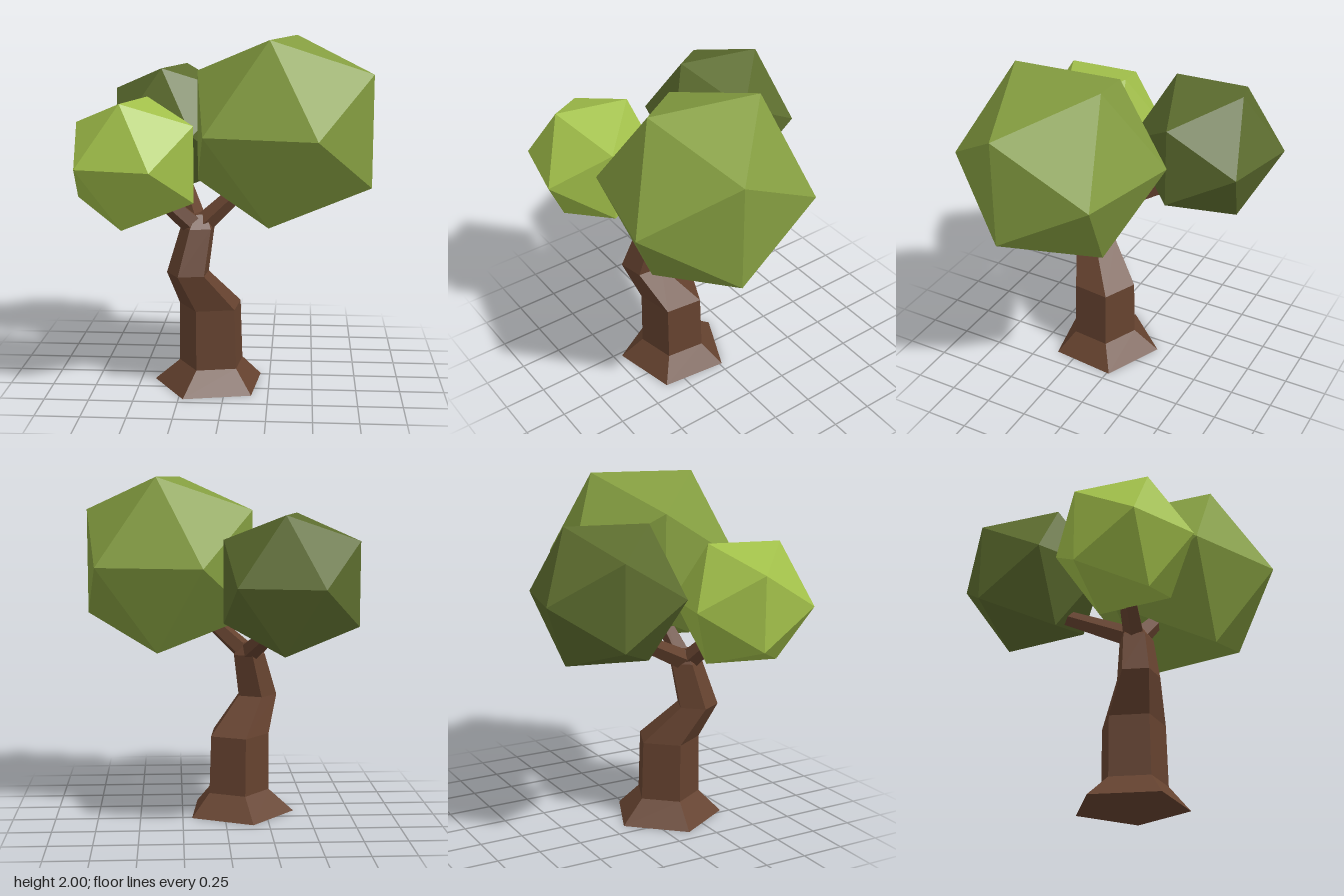
import * as THREE from 'three';

const SIDES = 5;
const TURN = THREE.MathUtils.degToRad(42);

function material(name, color) {
  const m = new THREE.MeshStandardMaterial({ color, flatShading: true });
  m.name = name;
  return m;
}

// Closed, faceted tube through horizontal pentagon rings [x, y, z, radius]
function ringTube(rings) {
  const pos = [];
  const corner = ([x, y, z, r], i) => {
    const a = TURN + (i % SIDES) * Math.PI * 2 / SIDES;
    return [x + r * Math.cos(a), y, z + r * Math.sin(a)];
  };
  const tri = (...points) => points.forEach(p => pos.push(...p));
  const first = rings[0], last = rings[rings.length - 1];
  for (let i = 0; i < SIDES; i++) {
    for (let j = 0; j < rings.length - 1; j++) {
      const a = corner(rings[j], i), b = corner(rings[j], i + 1);
      const c = corner(rings[j + 1], i), d = corner(rings[j + 1], i + 1);
      tri(a, c, b);
      tri(b, c, d);
    }
    tri(first.slice(0, 3), corner(first, i), corner(first, i + 1));
    tri(last.slice(0, 3), corner(last, i + 1), corner(last, i));
  }
  const g = new THREE.BufferGeometry();
  g.setAttribute('position', new THREE.Float32BufferAttribute(pos, 3));
  g.computeVertexNormals();
  return g;
}

export function createModel() {
  const tree = new THREE.Group();
  tree.name = 'tree';
  const bark = material('bark brown', 0x65422f);
  const add = (name, geometry, mat) => {
    const mesh = new THREE.Mesh(geometry, mat);
    mesh.name = name;
    tree.add(mesh);
    return mesh;
  };

  // Crooked trunk with flared root, closing in the fork
  add('trunk', ringTube([
    [-0.09, 0, 0.15, 0.33],
    [-0.078, 0.13, 0.16, 0.194],
    [-0.083, 0.475, 0.16, 0.187],
    [-0.202, 0.69, 0.287, 0.125],
    [-0.15, 0.945, 0.237, 0.101],
    [-0.14, 1.02, 0.225, 0.05],
  ]), bark);

  // Branches from the fork into each crown
  const branch = (name, from, to) => {
    const a = new THREE.Vector3(...from), b = new THREE.Vector3(...to);
    const dir = b.clone().sub(a);
    const mesh = add(name, new THREE.CylinderGeometry(0.042, 0.062, dir.length(), SIDES), bark);
    mesh.position.copy(a).lerp(b, 0.5);
    mesh.quaternion.setFromUnitVectors(new THREE.Vector3(0, 1, 0), dir.normalize());
  };
  branch('leftBranch', [-0.13, 0.96, 0.235], [0.16, 1.23, 0.21]);
  branch('rightBranch', [-0.18, 0.96, 0.25], [-0.42, 1.2, 0.36]);
  branch('backBranch', [-0.16, 0.96, 0.21], [-0.31, 1.2, -0.27]);

  // Faceted leaf crowns
  const crown = (name, mat, radius, x, y, z) => {
    const mesh = add(name, new THREE.IcosahedronGeometry(radius, 0), mat);
    mesh.position.set(x, y, z);
    mesh.rotation.y = 1.342;
  };
  crown('largeCrown', material('leaf green', 0x849d40), 0.588, 0.322, 1.5, 0.21);
  crown('backCrown', material('dark leaf green', 0x5c6c2e), 0.441, -0.345, 1.427, -0.37);
  crown('smallCrown', material('light leaf green', 0xa2c04a), 0.397, -0.482, 1.335, 0.407);

  return tree;
}
